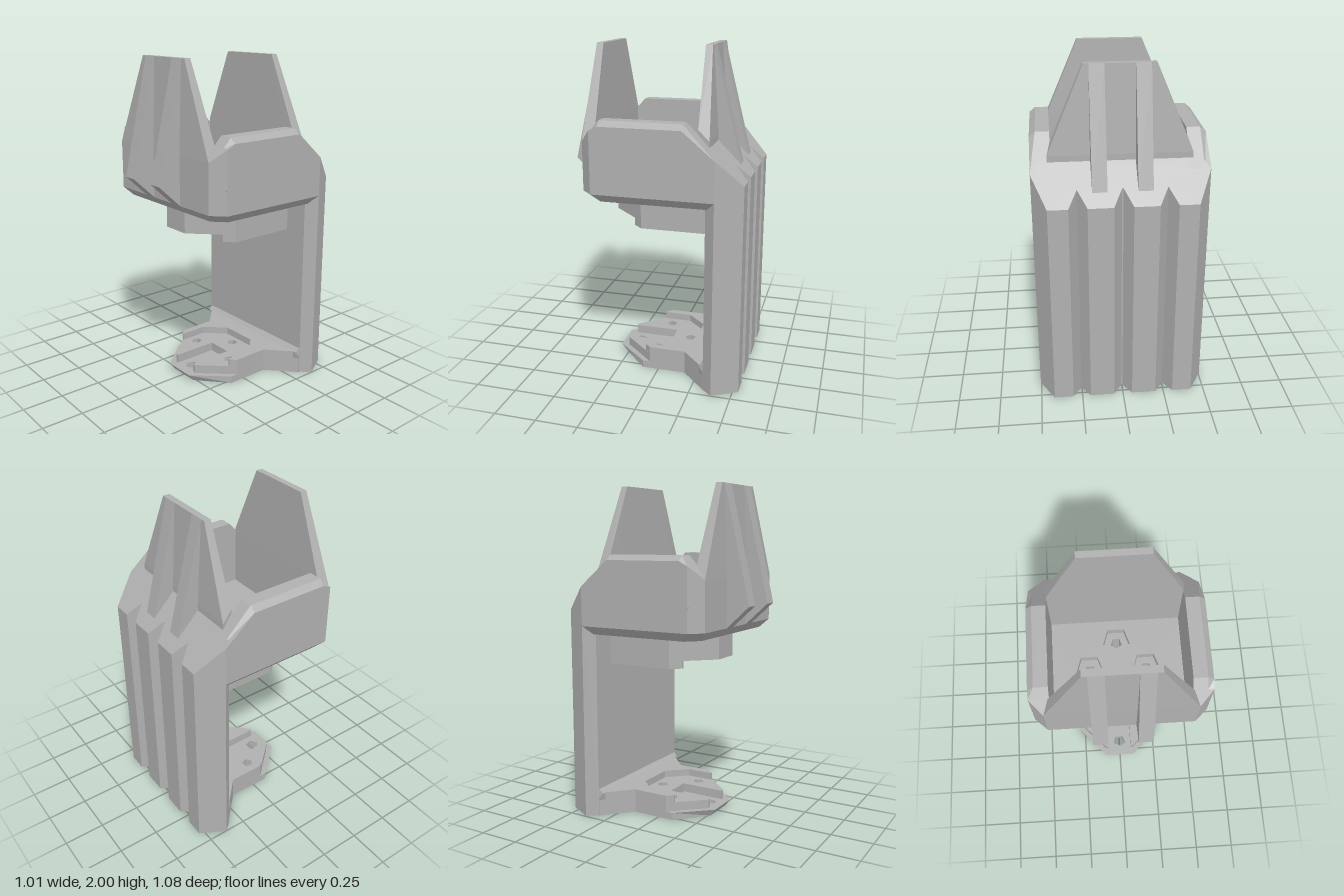
import * as THREE from 'three';
import { ConvexGeometry } from 'three/addons/geometries/ConvexGeometry.js';

const grey = new THREE.MeshStandardMaterial({ color: 0xb0b0b0 });
grey.name = 'plain grey';

// Full outline from its +x half
const sym = (half) => [...half, ...half.slice().reverse().map(([x, z]) => [-x, z])];

// Five-sided hole outline
const pentagon = (cx, cy, r) => Array.from({ length: 5 }, (_, i) => {
  const a = Math.PI / 2 + (i * Math.PI * 2) / 5;
  return [cx + r * Math.cos(a), cy + r * Math.sin(a)];
});

function extrude(points, depth, holes) {
  const vec = (list) => list.map(([u, v]) => new THREE.Vector2(u, v));
  const shape = new THREE.Shape(vec(points));
  holes.forEach((h) => shape.holes.push(new THREE.Path(vec(h))));
  return new THREE.ExtrudeGeometry(shape, { depth, bevelEnabled: false });
}

// Moves vertices by a rule
function reshape(geo, rule) {
  const p = geo.attributes.position;
  const v = new THREE.Vector3();
  for (let i = 0; i < p.count; i++) {
    v.fromBufferAttribute(p, i);
    rule(v);
    p.setXYZ(i, v.x, v.y, v.z);
  }
  geo.computeVertexNormals();
  return geo;
}

// Outline in [x, z], raised from y0 to y1
function plan(points, y0, y1, holes = []) {
  const flip = (list) => list.map(([x, z]) => [x, -z]);
  return extrude(flip(points), y1 - y0, holes.map(flip)).rotateX(-Math.PI / 2).translate(0, y0, 0);
}

// Outline in [z, y], running from x0 to x1
function side(points, x0, x1, holes = []) {
  const flip = (list) => list.map(([z, y]) => [-z, y]);
  return extrude(flip(points), x1 - x0, holes.map(flip)).rotateY(Math.PI / 2).translate(x0, 0, 0);
}

// Convex solid from its +x corners, mirrored
function hull(corners) {
  const pts = corners.flatMap(([x, y, z]) => [new THREE.Vector3(x, y, z), new THREE.Vector3(-x, y, z)]);
  return new ConvexGeometry(pts);
}

export function createModel() {
  const group = new THREE.Group();
  const add = (name, geo) => {
    const mesh = new THREE.Mesh(geo, grey);
    mesh.name = name;
    group.add(mesh);
  };
  const centres = [[0, 0.2], [0.17, 0.03], [-0.17, 0.03], [0, -0.14]];
  const screws = (r, list = centres) => list.map(([x, z]) => pentagon(x, z, r));

  // Grooved back column with a sloping top
  const column = plan(sym([
    [0.45, -0.325], [0.505, -0.385], [0.42, -0.535], [0.305, -0.535],
    [0.253, -0.455], [0.2, -0.535], [0.055, -0.535], [0.004, -0.455],
  ]), 0.005, 1.6);
  add('column', reshape(column, (v) => { if (v.y > 1) v.y = 1.8 + v.z; }));

  // Bottom mounting plate: sole, slotted layer and rim
  const tail = [[0.28, -0.17], [0.45, -0.33], [0.45, -0.38]];
  const sole = plan(sym([[0.1, 0.3], [0.28, 0.1], ...tail]), 0, 0.045, screws(0.045));
  add('plateSole', reshape(sole, (v) => { if (v.y < 0.01 && v.z > 0.28) v.z = 0.265; }));
  const slot = [[-0.08, 0.25], [-0.08, -0.03], [0.08, -0.03], [0.08, 0.25]];
  add('plateSlotLayer', plan(
    [...sym([[0.1, 0.25], [0.28, 0.055], ...tail]), ...slot],
    0.045, 0.1, screws(0.035, centres.slice(1)),
  ));
  const recess = [[-0.235, 0.09], [-0.235, -0.08], [-0.12, -0.2], [0.12, -0.2], [0.235, -0.08], [0.235, 0.09]];
  add('plateRim', plan([...sym([[0.245, 0.09], [0.28, 0.055], ...tail]), ...recess], 0.1, 0.145));
  add('plateFillet', hull([
    [0.45, 0.1, -0.33], [0.45, 0.175, -0.33], [0.44, 0.145, -0.3], [0.42, 0.1, -0.3],
  ]));

  // Upper mounting block below the tray
  add('blockBody', plan(sym([[0.09, 0.31], [0.305, 0.095], [0.305, -0.34]]), 0.98, 1.13, screws(0.035)));
  const blockRecess = recess.map(([x, z]) => [x, z > 0 ? 0.15 : z]);
  add('blockRim', plan(
    [...sym([[0.25, 0.15], [0.305, 0.095], [0.305, -0.34]]), ...blockRecess], 0.935, 0.98,
  ));

  // Tray floor with nut pockets and a bevelled lower edge
  const floor = plan(sym([[0.43, 0.4], [0.505, 0.33], [0.505, -0.385]]), 1.13, 1.18, screws(0.085));
  add('trayFloor', reshape(floor, (v) => {
    if (v.y > 1.15) return;
    if (Math.abs(v.x) > 0.4) v.x -= Math.sign(v.x) * 0.045;
    if (v.z > 0.3) v.z -= 0.045;
  }));

  // Side walls with stepped screw recesses
  const wall = [[0.33, 1.18], [0.33, 1.545], [0.28, 1.6], [-0.2, 1.6], [-0.385, 1.415], [-0.385, 1.18]];
  for (const s of [1, -1]) {
    for (const [a, b, r] of [[0.39, 0.42, 0], [0.42, 0.47, 0.035], [0.47, 0.505, 0.07]]) {
      const holes = r ? [pentagon(0.27, 1.305, r), pentagon(-0.205, 1.305, r)] : [];
      const geo = side(wall, s > 0 ? a : -b, s > 0 ? b : -a, holes);
      add('sideWall', reshape(geo, (v) => {
        if (Math.abs(v.x) > 0.5 && v.y > 1.59) v.y = 1.57;
      }));
    }
  }

  // Front wall with cut corners
  add('frontWall', hull([
    [0.505, 1.18, 0.33], [0.43, 1.18, 0.4], [0.43, 1.47, 0.4], [0.505, 1.545, 0.33],
  ]));

  // Tall tapered fins
  add('frontFin', hull([
    [0.43, 1.18, 0.4], [0.43, 1.47, 0.4], [0.4, 1.18, 0.33], [0.4, 1.54, 0.33],
    [0.2, 2, 0.38], [0.2, 2, 0.34],
  ]));
  add('backFin', hull([
    [0.41, 1.18, -0.335], [0.41, 1.18, -0.268], [0.41, 1.5, -0.335], [0.39, 1.56, -0.266],
    [0.2, 2, -0.3], [0.2, 2, -0.26],
  ]));

  // Stiffening ribs on both fins
  const frontRib = [[0.36, 1.18], [0.4, 1.18], [0.54, 1.31], [0.38, 2], [0.36, 2]];
  const backRib = [[-0.29, 1.4], [-0.28, 2], [-0.3, 2], [-0.47, 1.33], [-0.4, 1.33]];
  for (const x of [-0.17, 0.085]) {
    add('frontRib', side(frontRib, x, x + 0.085));
    add('backRib', side(backRib, x, x + 0.085));
  }
  return group;
}
